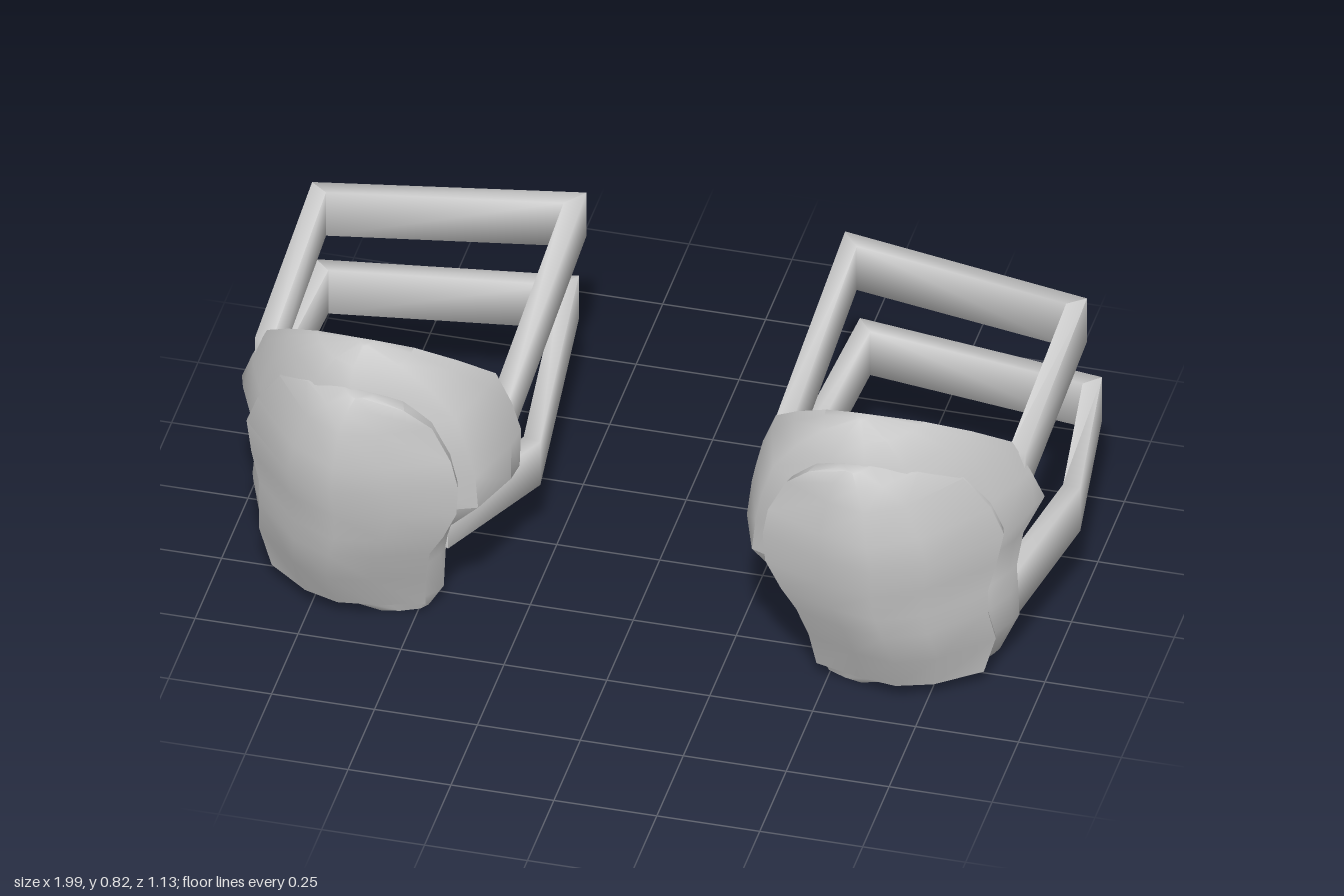
import * as THREE from 'three';
import { toCreasedNormals } from 'three/addons/utils/BufferGeometryUtils.js';

// Closed skin over a series of equal-length rings; side = -1 mirrors it in x
function skin(rings, side, crease) {
  const n = rings[0].length, last = (rings.length - 1) * n;
  const index = [];
  const tri = (a, b, c) => (side > 0 ? index.push(a, b, c) : index.push(a, c, b));
  for (let i = 0; i < rings.length - 1; i++) {
    for (let j = 0; j < n; j++) {
      const a = i * n + j, b = i * n + (j + 1) % n;
      tri(a, a + n, b);
      tri(b, a + n, b + n);
    }
  }
  for (let j = 1; j < n - 1; j++) {
    tri(0, j, j + 1);
    tri(last, last + j + 1, last + j);
  }
  const pos = rings.flat().flatMap(([x, y, z]) => [x * side, y, z]);
  const geo = new THREE.BufferGeometry();
  geo.setAttribute('position', new THREE.Float32BufferAttribute(pos, 3));
  geo.setIndex(index);
  geo.computeVertexNormals();
  return toCreasedNormals(geo, crease);
}

const lerp = THREE.MathUtils.lerp;

// Base levels: height, inner x, outer x, outer back z, inner back z, front z
const BASE = [
  [0.003, 0.48, 0.68, 0.25, 0.3, 0.36],
  [0.05, 0.45, 0.88, 0.21, 0.29, 0.4],
  [0.15, 0.45, 0.925, 0.2, 0.27, 0.445],
  [0.25, 0.43, 0.93, 0.23, 0.27, 0.485],
  [0.31, 0.37, 0.925, 0.225, 0.26, 0.495],
  [0.39, 0.28, 0.935, 0.2, 0.235, 0.51],
  [0.47, 0.285, 0.975, 0.155, 0.2, 0.52],
  [0.55, 0.305, 0.945, 0.17, 0.21, 0.53],
  [0.64, 0.34, 0.905, 0.19, 0.225, 0.52],
  [0.72, 0.41, 0.83, 0.28, 0.305, 0.5],
  [0.79, 0.5, 0.735, 0.365, 0.375, 0.485],
  [0.828, 0.585, 0.62, 0.42, 0.42, 0.45],
];
const baseRings = BASE.map(([y, xi, xo, zo, zi, zf]) => {
  const at = (u, f) => [lerp(xi, xo, u), y, lerp(zo, zf, f)];
  const shoulder = at(0.08, 0.72);
  return [
    [xi, y, zi], [xo, y, zo], at(0.98, 0.12), at(0.92, 0.38), at(0.72, 0.83),
    at(0.51, 1), at(0.3, 0.91), shoulder, [lerp(xi, xo, 0.01), y, lerp(zi, shoulder[2], 0.3)],
  ];
});

// Raised face levels: height, inner x, outer x, reference back z, front z
const FACE = [
  [0.045, 0.475, 0.865, 0.23, 0.41],
  [0.15, 0.465, 0.895, 0.2, 0.465],
  [0.25, 0.445, 0.885, 0.23, 0.51],
  [0.31, 0.41, 0.885, 0.22, 0.525],
  [0.39, 0.375, 0.905, 0.2, 0.545],
  [0.47, 0.37, 0.92, 0.17, 0.56],
  [0.55, 0.385, 0.89, 0.18, 0.57],
  [0.64, 0.43, 0.83, 0.23, 0.558],
  [0.7, 0.49, 0.74, 0.38, 0.548],
  [0.732, 0.565, 0.64, 0.47, 0.53],
];
const FACE_SECTION = [
  [0.06, 0.5], [0.96, 0.22], [1, 0.4], [0.74, 0.84], [0.52, 1], [0.28, 0.93], [0, 0.76],
];
const faceRings = FACE.map(([y, xi, xo, zb, zf]) =>
  FACE_SECTION.map(([u, f]) => [lerp(xi, xo, u), y, lerp(zb, zf, f)]));

// Flat band mitred along a path of [x, y, z] centre points
function bandRings(path, height, thickness) {
  const dir = (a, b) => new THREE.Vector2(b[0] - a[0], b[2] - a[2]).normalize();
  return path.map((p, i) => {
    const d0 = dir(path[Math.max(i - 1, 0)], path[Math.max(i, 1)]);
    const d1 = i < path.length - 1 ? dir(p, path[i + 1]) : d0;
    const d = d0.clone().add(d1).normalize();
    const w = thickness / 2 / d.dot(d0), h = height / 2;
    return [[1, -1], [1, 1], [-1, 1], [-1, -1]].map(([s, t]) =>
      [p[0] - d.y * w * s, p[1] + t * h, p[2] + d.x * w * s]);
  });
}

const STRAPS = {
  upperStrap: [[0.335, 0.485, 0.225], [0.335, 0.58, -0.503], [0.92, 0.605, -0.36], [0.915, 0.545, 0.185]],
  lowerStrap: [[0.46, 0.215, 0.27], [0.305, 0.25, 0.02], [0.36, 0.31, -0.54],
    [0.935, 0.315, -0.45], [0.975, 0.26, -0.1], [0.895, 0.21, 0.22]],
};

export function createModel() {
  const grey = new THREE.MeshStandardMaterial({ color: 0xcccccc });
  grey.name = 'grey';
  const model = new THREE.Group();
  model.name = 'kneePads';
  for (const side of [1, -1]) {
    const guard = new THREE.Group();
    guard.name = side > 0 ? 'leftKneePad' : 'rightKneePad';
    const add = (name, geo) => {
      const mesh = new THREE.Mesh(geo, grey);
      mesh.name = name;
      guard.add(mesh);
    };
    add('padBase', skin(baseRings, side, 0.95));
    add('padFace', skin(faceRings, side, 0.95));
    for (const [name, path] of Object.entries(STRAPS)) {
      add(name, skin(bandRings(path, 0.125, 0.042), side, 1.65));
    }
    model.add(guard);
  }
  return model;
}
